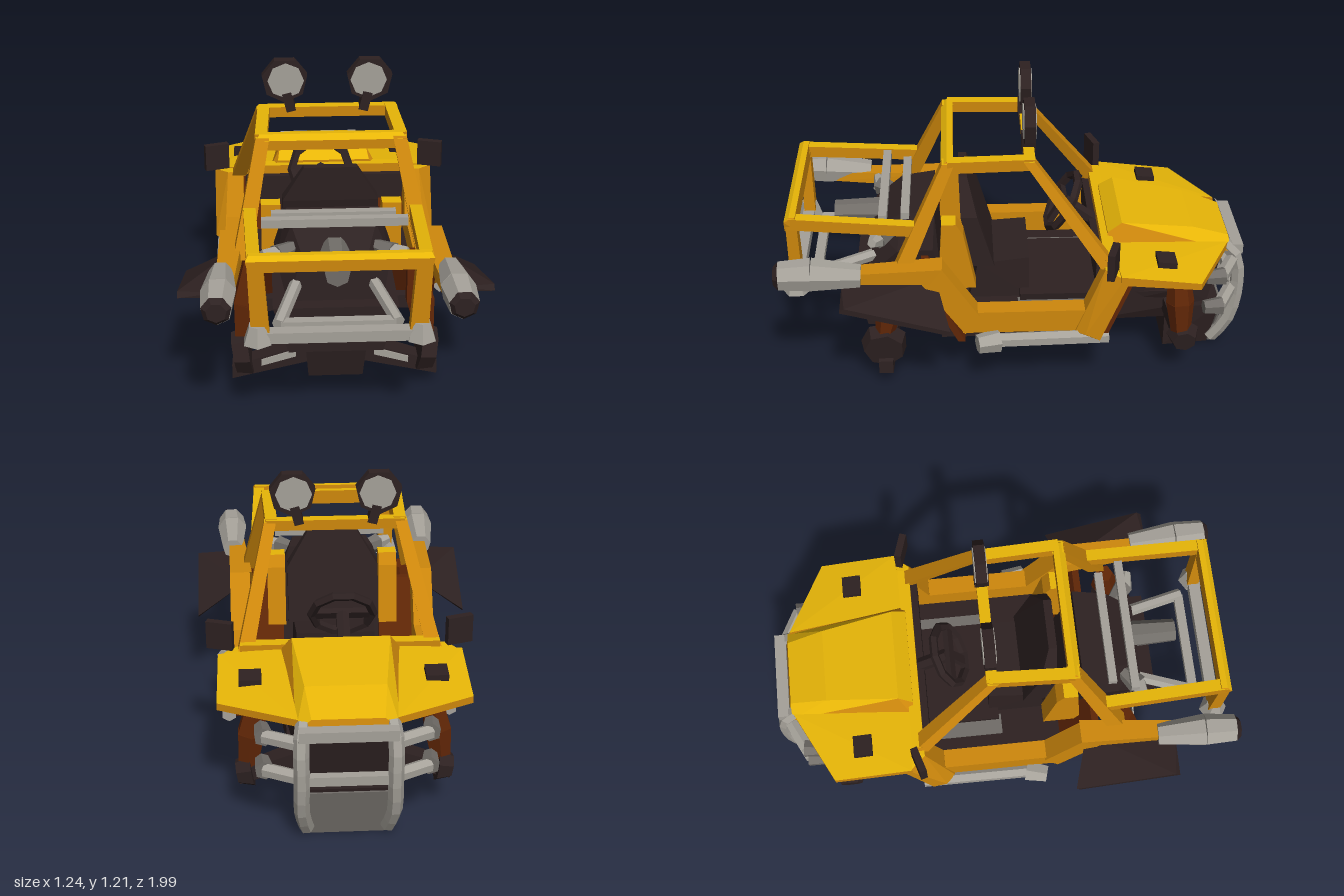
import * as THREE from 'three';
import { ConvexGeometry } from 'three/addons/geometries/ConvexGeometry.js';

const V = (p) => new THREE.Vector3(...p);

export function createModel() {
  const root = new THREE.Group();
  const mat = (name, color) => new THREE.MeshStandardMaterial({ name, color, flatShading: true });
  const yellow = mat('yellow top paint', 0xeebb08);
  const orange = mat('orange side paint', 0xce880c);
  const dark = mat('dark plastic', 0x2d2121);
  const silver = mat('silver metal', 0xa5a199);
  const grey = mat('dark steel', 0x716d68);
  const rust = mat('rust red', 0x602606);
  const paint = [yellow, orange];

  // Adds a mesh; painted bodywork is yellow where it faces up and orange elsewhere
  function add(name, m, geometry) {
    let g = geometry;
    if (Array.isArray(m)) {
      if (g.index) g = g.toNonIndexed();
      g.computeVertexNormals();
      g.clearGroups();
      const n = g.attributes.normal;
      for (let i = 0; i < n.count; i += 3) g.addGroup(i, 3, n.getY(i) > 0.62 ? 0 : 1);
    }
    const mesh = new THREE.Mesh(g, m);
    mesh.name = name;
    root.add(mesh);
    return mesh;
  }
  const box = (name, m, x, y, z, w, h, d) =>
    add(name, m, new THREE.BoxGeometry(w, h, d).translate(x, y, z));
  const hull = (name, m, pts) => add(name, m, new ConvexGeometry(pts.map(V)));

  // Square bar from a to b
  function beam(name, m, a, b, w, h = w) {
    const A = V(a), B = V(b);
    const g = new THREE.BoxGeometry(w, h, A.distanceTo(B) + 0.02);
    g.applyMatrix4(new THREE.Matrix4().lookAt(A, B, new THREE.Vector3(0, 1, 0.001)));
    const c = A.add(B).multiplyScalar(0.5);
    return add(name, m, g.translate(c.x, c.y, c.z));
  }
  // Faceted rod from a (radius r0) to b (radius r1)
  function rod(name, m, a, b, r0, r1 = r0, sides = 6) {
    const A = V(a), B = V(b);
    const g = new THREE.CylinderGeometry(r1, r0, A.distanceTo(B), sides);
    g.applyQuaternion(new THREE.Quaternion().setFromUnitVectors(
      new THREE.Vector3(0, 1, 0), B.clone().sub(A).normalize()));
    const c = A.add(B).multiplyScalar(0.5);
    return add(name, m, g.translate(c.x, c.y, c.z));
  }
  const pipe = (name, m, pts, r) => add(name, m,
    new THREE.TubeGeometry(new THREE.CatmullRomCurve3(pts.map(V)), 8, r, 6));
  // Hull mirrored across x: every [x, y, z] also at -x
  const both = (pts) => pts.flatMap(([x, y, z]) => [[x, y, z], [-x, y, z]]);
  // Level rectangle of corners, for the ends of posts and pillars
  const level = (y, x0, x1, z0, z1) => [[x0, y, z0], [x1, y, z0], [x0, y, z1], [x1, y, z1]];

  // Floor, tunnel and front compartment
  box('cabinFloor', dark, 0, 0.25, -0.02, 0.78, 0.06, 0.68);
  hull('chassisTunnel', dark, both([[0.2, 0.15, -0.02], [0.16, 0.14, -0.68],
    [0.23, 0.32, -0.02], [0.23, 0.32, -0.68]]));
  hull('frontCompartment', dark, both([[0.24, 0.2, -0.4], [0.19, 0.24, -0.84],
    [0.25, 0.54, -0.4], [0.18, 0.52, -0.9]]));
  hull('frontSkidBox', dark, both([[0.18, 0, -0.66], [0.16, 0, -0.86],
    [0.19, 0.2, -0.66], [0.19, 0.22, -0.9]]));
  hull('skidPlate', grey, both([[0.155, 0.0, -0.865], [0.155, 0.0, -0.874],
    [0.19, 0.21, -0.905], [0.19, 0.21, -0.914]]));
  box('dashboard', dark, 0, 0.5, -0.37, 0.72, 0.12, 0.08);

  // Hood
  hull('hood', paint, both([[0.2, 0.65, -0.45], [0.21, 0.61, -0.39], [0.16, 0.6, -0.76],
    [0.14, 0.545, -0.92], [0.26, 0.55, -0.39], [0.2, 0.5, -0.93], [0.25, 0.52, -0.42]]));

  // Seat
  hull('seatCushion', dark, both([[0.17, 0.47, -0.06], [0.18, 0.45, 0.16],
    [0.18, 0.28, -0.06], [0.18, 0.28, 0.2]]));
  hull('seatBack', dark, both([[0.2, 0.45, 0.09], [0.2, 0.45, 0.18], [0.2, 0.69, 0.16],
    [0.2, 0.69, 0.23], [0.11, 0.84, 0.2], [0.11, 0.84, 0.235]]));

  // Steering wheel
  const wheel = new THREE.Group();
  wheel.name = 'steeringWheel';
  const rim = new THREE.Mesh(new THREE.TorusGeometry(0.13, 0.02, 5, 10), dark);
  const spoke = new THREE.Mesh(new THREE.BoxGeometry(0.25, 0.04, 0.025), dark);
  const stalk = new THREE.Mesh(new THREE.BoxGeometry(0.04, 0.13, 0.025), dark);
  stalk.position.y = -0.065;
  wheel.add(rim, spoke, stalk);
  wheel.position.set(-0.02, 0.64, -0.215);
  wheel.rotation.x = -0.52;
  root.add(wheel);
  rod('steeringColumn', dark, [-0.02, 0.64, -0.22], [-0.02, 0.52, -0.38], 0.03);

  // Cross bars of the cage and rear rack
  beam('roofFrontBar', paint, [-0.28, 0.985, -0.055], [0.28, 0.985, -0.055], 0.045);
  hull('roofRearBar', paint, both([[0.29, 1.01, 0.255], [0.28, 0.95, 0.255],
    [0.29, 1.01, 0.28], [0.305, 0.99, 0.305], [0.305, 0.95, 0.305]]));
  beam('windshieldBase', paint, [-0.4, 0.575, -0.385], [0.4, 0.575, -0.385], 0.05);
  hull('rackRearBar', paint, both([[0.34, 0.79, 0.9], [0.34, 0.73, 0.895],
    [0.34, 0.79, 0.925], [0.35, 0.775, 0.945], [0.34, 0.73, 0.945]]));

  // Engine and rear underbody
  hull('rearGearbox', dark, both([[0.25, 0.43, 0.68], [0.19, 0.23, 0.68],
    [0.25, 0.43, 0.3], [0.22, 0.2, 0.25]]));
  hull('rearDifferential', dark, both([[0.12, 0.23, 0.68], [0.11, 0.1, 0.65],
    [0.12, 0.23, 0.45], [0.11, 0.1, 0.48]]));
  hull('engineBlock', dark, both([[0.22, 0.42, 0.32], [0.19, 0.42, 0.62], [0.24, 0.56, 0.35],
    [0.23, 0.55, 0.5], [0.19, 0.71, 0.34], [0.17, 0.7, 0.48], [0.13, 0.62, 0.6]]));
  rod('engineNub', grey, [0, 0.62, 0.55], [0, 0.62, 0.77], 0.06, 0.05, 7);
  box('engineBrace', silver, 0, 0.735, 0.46, 0.5, 0.03, 0.035);
  box('engineRearBrace', silver, 0, 0.745, 0.55, 0.58, 0.035, 0.035);
  box('rearBumper', silver, 0, 0.45, 0.92, 0.6, 0.045, 0.05);
  box('rearInnerBar', silver, 0, 0.455, 0.84, 0.44, 0.03, 0.04);

  // Front guard bars
  box('guardTopBar', silver, 0, 0.5, -0.955, 0.38, 0.045, 0.05);
  box('guardMiddleBar', silver, 0, 0.3, -0.955, 0.36, 0.04, 0.035);

  // Everything that exists on both sides
  for (const s of [-1, 1]) {
    const m = (pts) => pts.map(([x, y, z]) => [x * s, y, z]);
    const sBeam = (name, mt, a, b, w, h) => beam(name, mt, ...m([a, b]), w, h);
    const sRod = (name, mt, a, b, r0, r1, n) => rod(name, mt, ...m([a, b]), r0, r1, n);
    const sHull = (name, mt, pts) => hull(name, mt, m(pts));

    // Cage tubes
    sBeam('roofRail', paint, [0.27, 0.985, -0.055], [0.283, 0.985, 0.27], 0.05);
    sHull('frontPillar', paint, [...level(1.0, 0.25, 0.3, -0.075, -0.03),
      ...level(0.56, 0.355, 0.42, -0.41, -0.345)]);
    sHull('rearPillar', paint, [...level(1.0, 0.25, 0.305, 0.25, 0.3),
      ...level(0.56, 0.335, 0.405, 0.44, 0.51)]);
    sBeam('rackRail', paint, [0.335, 0.725, 0.43], [0.32, 0.76, 0.92], 0.05);
    sHull('rackPost', paint, [...level(0.76, 0.285, 0.345, 0.895, 0.94),
      ...level(0.47, 0.265, 0.335, 0.89, 0.94)]);

    // Body side: front wall, sill, rear riser, rear rail
    sHull('frontSideWall', paint, [[0.37, 0.57, -0.36], [0.44, 0.57, -0.36], [0.37, 0.57, -0.46],
      [0.5, 0.56, -0.43], [0.5, 0.56, -0.46], [0.37, 0.28, -0.24], [0.46, 0.28, -0.24],
      [0.5, 0.29, -0.28], [0.37, 0.26, -0.34], [0.5, 0.26, -0.34]]);
    sHull('sill', orange, [0.37, 0.45].flatMap((x) => [[x, 0.38, 0.2], [x, 0.28, 0.23],
      [x, 0.38, -0.28], [x, 0.28, -0.3]]));
    sHull('rearRiser', orange, [0.37, 0.46].flatMap((x) => [[x, 0.6, 0.31], [x, 0.54, 0.4],
      [x, 0.37, 0.16], [x, 0.28, 0.22]]));
    sHull('rearSideRail', orange, [[0.36, 0.6, 0.31], [0.46, 0.6, 0.31], [0.36, 0.53, 0.36],
      [0.46, 0.53, 0.36], [0.4, 0.59, 0.75], [0.47, 0.59, 0.75], [0.4, 0.55, 0.8], [0.47, 0.55, 0.8]]);
    sHull('seatSidePanel', paint, [0.21, 0.29].flatMap((x) => [[x, 0.4, 0.17], [x, 0.4, 0.33],
      [x, 0.66, 0.22], [x, 0.71, 0.25], [x, 0.71, 0.31]]));
    sHull('frontFender', paint, [[0.19, 0.54, -0.91], [0.5, 0.53, -0.75], [0.5, 0.57, -0.42],
      [0.24, 0.58, -0.4], [0.19, 0.51, -0.91], [0.5, 0.5, -0.75], [0.5, 0.53, -0.42], [0.24, 0.54, -0.4]]);
    sHull('fenderUnderside', rust, [[0.2, 0.509, -0.88], [0.48, 0.499, -0.74], [0.48, 0.529, -0.44],
      [0.25, 0.535, -0.42], [0.2, 0.5, -0.88], [0.48, 0.49, -0.74], [0.48, 0.52, -0.44], [0.25, 0.525, -0.42]]);
    sHull('frontWheelWell', rust, [...level(0.53, 0.2, 0.48, -0.475, -0.45),
      ...level(0.24, 0.2, 0.48, -0.36, -0.34)]);
    sHull('rearWheelWell', rust, [...level(0.53, 0.22, 0.44, 0.37, 0.4),
      ...level(0.23, 0.22, 0.44, 0.22, 0.25)]);
    sHull('fenderVent', dark, [0.325, 0.415].flatMap((x) => [[x, 0.585, -0.58],
      [x, 0.577, -0.66], [x, 0.55, -0.58], [x, 0.55, -0.66]]));
    box('floorMat', grey, 0.245 * s, 0.283, -0.18, 0.09, 0.008, 0.34);

    // Rear mudguard
    sHull('rearMudguard', dark, [[0.4, 0.53, 0.34], [0.62, 0.53, 0.7], [0.46, 0.53, 0.72],
      [0.62, 0.51, 0.72], [0.61, 0.4, 0.28], [0.61, 0.385, 0.3], [0.45, 0.5, 0.33], [0.46, 0.51, 0.72]]);

    // Mirror and roof lamp
    const mirror = box('mirror', dark, 0, 0, 0, 0.11, 0.12, 0.03);
    mirror.position.set(0.49 * s, 0.64, -0.385);
    mirror.rotation.y = -0.3 * s;
    sRod('lampHousing', dark, [0.18, 1.125, -0.08], [0.18, 1.125, -0.035], 0.098, 0.098, 7);
    sRod('lampGlass', silver, [0.175, 1.125, -0.084], [0.175, 1.125, -0.031], 0.077, 0.077, 8);
    sBeam('lampStem', dark, [0.155, 1.0, -0.055], [0.17, 1.06, -0.055], 0.06, 0.04);

    // Exhausts and rear metalwork
    sRod('exhaust', silver, [0.45, 0.575, 0.64], [0.455, 0.59, 0.84], 0.048, 0.07, 7);
    sRod('exhaustTail', silver, [0.455, 0.59, 0.84], [0.46, 0.59, 0.97], 0.07, 0.06, 7);
    sRod('exhaustTip', dark, [0.46, 0.59, 0.97], [0.46, 0.59, 0.99], 0.06, 0.04, 7);
    sRod('rackFoot', silver, [0.31, 0.5, 0.92], [0.31, 0.425, 0.92], 0.035, 0.06);
    sRod('bumperArm', silver, [0.15, 0.5, 0.58], [0.23, 0.455, 0.85], 0.026);
    sRod('rearNozzle', grey, [0.16, 0.62, 0.52], [0.23, 0.615, 0.58], 0.03, 0.045);
    sRod('rearNozzleTip', silver, [0.23, 0.615, 0.58], [0.29, 0.63, 0.6], 0.04, 0.02);

    // Side step
    sRod('sideStep', silver, [0.465, 0.26, -0.38], [0.465, 0.25, 0.1], 0.032);
    sRod('sideStepEnd', silver, [0.465, 0.25, 0.08], [0.49, 0.25, 0.17], 0.05, 0.04);

    // Rear suspension
    sHull('rearArm', dark, [[0.1, 0.22, 0.5], [0.1, 0.22, 0.6], [0.1, 0.14, 0.5], [0.1, 0.14, 0.6],
      [0.42, 0.12, 0.53], [0.42, 0.12, 0.59], [0.42, 0.06, 0.53], [0.42, 0.06, 0.59]]);
    sHull('rearArmPlate', silver, [0.6, 0.606].flatMap((z) => [[0.16, 0.197, z], [0.3, 0.153, z],
      [0.16, 0.165, z], [0.3, 0.125, z]]));
    sRod('rearHub', dark, [0.345, 0.18, 0.565], [0.41, 0.17, 0.565], 0.1, 0.085, 7);
    sRod('rearShock', rust, [0.37, 0.24, 0.56], [0.35, 0.38, 0.53], 0.04, 0.065);
    sRod('rearShockTop', rust, [0.35, 0.38, 0.53], [0.33, 0.54, 0.51], 0.065, 0.04);

    // Front suspension
    sHull('frontArm', dark, [[0.14, 0.3, -0.63], [0.14, 0.3, -0.73], [0.14, 0.23, -0.63], [0.14, 0.23, -0.73],
      [0.42, 0.21, -0.68], [0.42, 0.21, -0.74], [0.42, 0.15, -0.68], [0.42, 0.15, -0.74]]);
    sRod('frontHub', dark, [0.37, 0.2, -0.71], [0.43, 0.19, -0.71], 0.07, 0.05, 7);
    sRod('frontShock', rust, [0.39, 0.2, -0.7], [0.37, 0.36, -0.69], 0.04, 0.06);
    sRod('frontShockTop', rust, [0.37, 0.36, -0.69], [0.34, 0.52, -0.68], 0.06, 0.04);

    // Front guard uprights and side bars
    pipe('guardUpright', silver, m([[0.17, 0.52, -0.9], [0.18, 0.47, -0.95], [0.18, 0.3, -0.968],
      [0.18, 0.14, -0.938], [0.16, 0.03, -0.875]]), 0.031);
    for (const y of [0.3, 0.45]) {
      sRod('guardSideBar', silver, [0.18, y, -0.94], [0.32, y, -0.87], 0.03);
      sRod('guardSideEnd', grey, [0.32, y, -0.88], [0.33, y, -0.8], 0.04, 0.03);
    }
  }
  return root;
}
